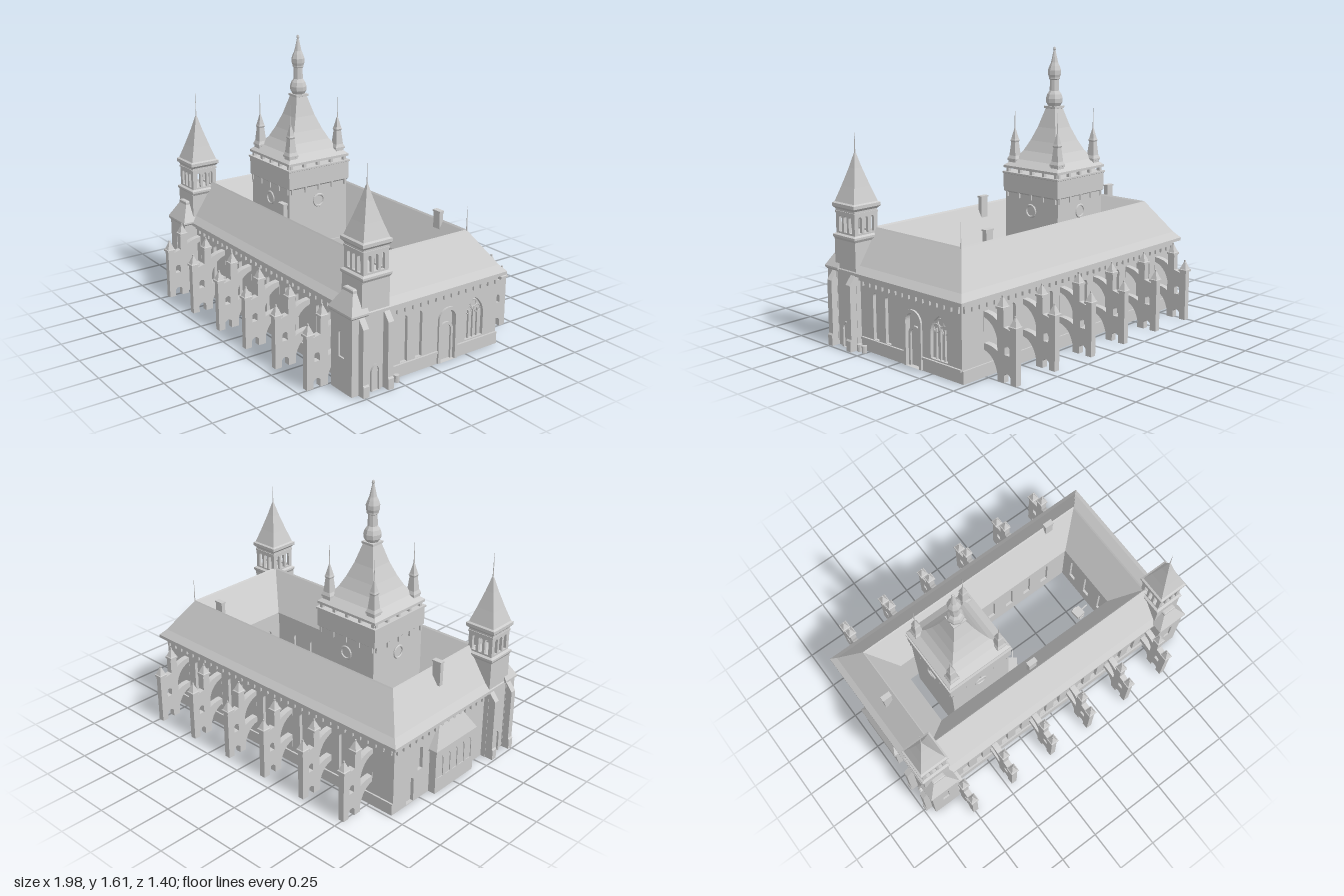
import * as THREE from 'three';

const grey = new THREE.MeshStandardMaterial({ color: 0xcccccc, side: THREE.DoubleSide, flatShading: true });

function add(parent, name, geo, x = 0, y = 0, z = 0) {
  const m = new THREE.Mesh(geo, grey);
  m.name = name;
  m.position.set(x, y, z);
  parent.add(m);
  return m;
}
function group(parent, name, x = 0, y = 0, z = 0, ry = 0) {
  const g = new THREE.Group();
  g.name = name;
  g.position.set(x, y, z);
  g.rotation.y = ry;
  parent.add(g);
  return g;
}
// Box given by its lower and upper corners
const block = (p, name, x0, x1, y0, y1, z0, z1) =>
  add(p, name, new THREE.BoxGeometry(x1 - x0, y1 - y0, z1 - z0), (x0 + x1) / 2, (y0 + y1) / 2, (z0 + z1) / 2);

// Skin through rectangular sections [y, halfX, halfZ = halfX, offsetZ = 0]
function loft(sections) {
  const pos = [], idx = [];
  sections.forEach(([y, hx, hz = hx, oz = 0]) => {
    for (const [sx, sz] of [[1, 1], [1, -1], [-1, -1], [-1, 1]]) pos.push(sx * hx, y, sz * hz + oz);
  });
  for (let i = 0; i < sections.length - 1; i++) for (let k = 0; k < 4; k++) {
    const a = i * 4 + k, b = i * 4 + (k + 1) % 4;
    idx.push(a, b, b + 4, a, b + 4, a + 4);
  }
  const g = new THREE.BufferGeometry();
  g.setAttribute('position', new THREE.Float32BufferAttribute(pos, 3));
  g.setIndex(idx);
  const flat = g.toNonIndexed();
  flat.computeVertexNormals();
  return flat;
}

// Arched outline centred on x, round or pointed
function arch(path, { x, w, y0, y1, pointed }) {
  const r = w / 2, s = pointed ? w * 0.85 : r;
  path.moveTo(x - r, y0).lineTo(x + r, y0).lineTo(x + r, y1 - s);
  if (pointed) {
    path.quadraticCurveTo(x + r, y1 - s * 0.4, x, y1).quadraticCurveTo(x - r, y1 - s * 0.4, x - r, y1 - s);
  } else path.absarc(x, y1 - r, r, 0, Math.PI, false);
  path.closePath();
  return path;
}
// Wall with arched openings; outer face at z = 0 looking to +z, optional recessed back
function wall(parent, name, w, h, openings, depth = 0.03, back = true) {
  const s = new THREE.Shape();
  s.moveTo(-w / 2, 0).lineTo(w / 2, 0).lineTo(w / 2, h).lineTo(-w / 2, h).closePath();
  openings.forEach(o => s.holes.push(arch(new THREE.Path(), o)));
  add(parent, name, new THREE.ExtrudeGeometry(s, { depth, bevelEnabled: false, curveSegments: 8 }), 0, 0, -depth);
  if (back) openings.forEach(o => block(parent, 'recess', o.x - o.w / 2 - 0.004, o.x + o.w / 2 + 0.004, o.y0 - 0.002, o.y1, -depth, -depth + 0.01));
}
// Arched frame standing proud of a wall
function frame(parent, name, o, t, depth, z = 0) {
  const s = arch(new THREE.Shape(), { ...o, w: o.w + 2 * t, y1: o.y1 + t });
  s.holes.push(arch(new THREE.Path(), o));
  add(parent, name, new THREE.ExtrudeGeometry(s, { depth, bevelEnabled: false, curveSegments: 8 }), 0, 0, z);
}
function corbels(parent, w) {
  const n = Math.round(w / 0.055);
  block(parent, 'frieze', -w / 2, w / 2, 0.395, 0.425, 0, 0.012);
  for (let i = 0; i <= n; i++) {
    const x = (i / n - 0.5) * (w - 0.02);
    block(parent, 'corbel', x - 0.008, x + 0.008, 0.37, 0.4, 0, 0.012);
  }
}
const needle = (p, x, y0, y1, z) =>
  add(p, 'finial', new THREE.CylinderGeometry(0.001, 0.0035, y1 - y0, 6), x, (y0 + y1) / 2, z);

// Flying buttress: two piers tied to the wall by arches, outward along +z
function buttress(parent, x) {
  const g = group(parent, 'flyingButtress', x);
  const s = new THREE.Shape();
  s.moveTo(0.45, 0).lineTo(0.471, 0).lineTo(0.471, 0.145).quadraticCurveTo(0.545, 0.13, 0.565, 0.04)
    .lineTo(0.565, 0).lineTo(0.61, 0).lineTo(0.61, 0.04).quadraticCurveTo(0.632, 0.07, 0.655, 0.04)
    .lineTo(0.655, 0).lineTo(0.695, 0).lineTo(0.695, 0.31).lineTo(0.655, 0.31).lineTo(0.655, 0.285)
    .lineTo(0.61, 0.295).lineTo(0.61, 0.39).lineTo(0.565, 0.39).lineTo(0.565, 0.32)
    .quadraticCurveTo(0.53, 0.35, 0.45, 0.35).closePath();
  const upper = new THREE.Path();
  upper.moveTo(0.471, 0.18).quadraticCurveTo(0.53, 0.18, 0.565, 0.16).lineTo(0.565, 0.22)
    .quadraticCurveTo(0.545, 0.3, 0.471, 0.32).closePath();
  s.holes.push(upper, arch(new THREE.Path(), { x: 0.6325, w: 0.034, y0: 0.15, y1: 0.2 }));
  const geo = new THREE.ExtrudeGeometry(s, { depth: 0.036, bevelEnabled: false, curveSegments: 6 });
  geo.rotateY(-Math.PI / 2).translate(0.018, 0, 0);
  add(g, 'buttressPier', geo);
  for (const [z, y] of [[0.675, 0.295], [0.5875, 0.385]]) {
    add(g, 'pinnacle', loft([[y, 0.018], [y, 0.026], [y + 0.012, 0.026], [y + 0.015, 0.021], [y + 0.058, 0.004], [y + 0.068, 0.004], [y + 0.068, 0]]), 0, 0, z);
  }
}

// Corner tower at the front, s = side
function cornerTower(parent, s) {
  const g = group(parent, 'cornerTower', s * 0.855, 0, 0.4);
  block(g, 'towerBase', -0.085, 0.085, 0, 0.62, -0.085, 0.09);
  add(g, 'lowerCornice', loft([[0.605, 0.085], [0.62, 0.094], [0.632, 0.094], [0.64, 0.08], [0.64, 0]]));
  // Belfry
  const slots = [-0.042, 0, 0.042].map(x => ({ x, w: 0.026, y0: 0.03, y1: 0.12 }));
  for (let k = 0; k < 4; k++) {
    const a = k * Math.PI / 2;
    const side = group(g, 'belfrySide', Math.sin(a) * 0.08, 0.62, Math.cos(a) * 0.08, a);
    wall(side, 'belfryWall', 0.16, 0.18, slots, 0.018, false);
    block(side, 'belfrySill', -0.083, 0.083, 0.135, 0.145, 0, 0.004);
  }
  add(g, 'spire', loft([[0.775, 0.08], [0.79, 0.094], [0.808, 0.094], [0.815, 0.083], [0.9, 0.055], [1.0, 0.025], [1.08, 0.004], [1.08, 0]]));
  needle(g, 0, 1.07, s < 0 ? 1.22 : 1.19, 0);
  // Front projection with a hipped stone roof
  const bay = group(g, 'towerBay', 0, 0, 0.155);
  wall(bay, 'bayFront', 0.18, 0.44, [{ x: 0, w: 0.045, y0: 0.19, y1: 0.34 }], 0.02);
  block(bay, 'bayBody', -0.09, 0.09, 0, 0.44, -0.08, -0.02);
  add(bay, 'bayRoof', loft([[0.425, 0.09, 0.05, -0.045], [0.435, 0.1, 0.055, -0.045], [0.445, 0.1, 0.055, -0.045],
    [0.54, 0.042, 0.03, -0.07], [0.555, 0.042, 0.03, -0.07], [0.56, 0.035, 0.025, -0.07], [0.56, 0, 0, -0.07]]));
  // Side buttresses with sloped tops
  const prof = new THREE.Shape();
  prof.moveTo(0, 0).lineTo(0.135, 0).lineTo(0.135, 0.06).lineTo(0.128, 0.07).lineTo(0.128, 0.375).lineTo(0.085, 0.43).lineTo(0, 0.43).closePath();
  for (const z of [-0.065, 0.095]) {
    const geo = new THREE.ExtrudeGeometry(prof, { depth: 0.036, bevelEnabled: false });
    geo.translate(0, 0, -0.018);
    if (s < 0) geo.rotateY(Math.PI);
    add(g, 'sideButtress', geo, 0, 0, z);
  }
  // Pointed side door
  const door = group(g, 'towerDoor', s * 0.085, 0, 0.005, s * Math.PI / 2);
  frame(door, 'doorFrame', { x: 0, w: 0.04, y0: 0, y1: 0.14, pointed: true }, 0.01, 0.012);
}

function centralTower(parent) {
  const g = group(parent, 'centralTower', -0.33);
  block(g, 'shaft', -0.2, 0.2, 0, 0.76, -0.205, 0.205);
  add(g, 'gallery', loft([[0.75, 0.2], [0.76, 0.212], [0.862, 0.212], [0.865, 0.218], [0.875, 0.218], [0.875, 0]]));
  for (let k = 0; k < 4; k++) {
    const a = k * Math.PI / 2;
    const side = group(g, 'towerSide', 0, 0, 0, a);
    for (let i = 0; i < 5; i++) {
      const x = (i - 2) * 0.094;
      block(side, 'galleryPost', x - 0.009, x + 0.009, 0.87, 0.91, 0.185, 0.205);
      block(side, 'bracket', x - 0.006, x + 0.006, 0.725, 0.76, 0.2, 0.212);
    }
    add(side, 'roundWindow', new THREE.TorusGeometry(0.035, 0.007, 6, 20), 0, 0.66, 0.205);
  }
  // Sweeping tower roof with a stacked lantern
  add(g, 'towerRoof', loft([[0.905, 0], [0.895, 0.2], [0.898, 0.212], [0.912, 0.212], [0.95, 0.165], [1.0, 0.128],
    [1.06, 0.099], [1.14, 0.068], [1.25, 0.036], [1.252, 0.042], [1.265, 0.042], [1.265, 0]]));
  const profile = [[0.032, 1.26], [0.048, 1.285], [0.05, 1.31], [0.042, 1.335], [0.028, 1.355], [0.026, 1.42], [0.033, 1.425],
    [0.033, 1.435], [0.038, 1.45], [0.039, 1.475], [0.03, 1.5], [0.021, 1.52], [0.006, 1.59], [0.009, 1.598], [0.006, 1.61], [0, 1.612]];
  add(g, 'lantern', new THREE.LatheGeometry(profile.map(p => new THREE.Vector2(...p)), 8));
  // Corner turrets
  for (const sx of [-1, 1]) for (const sz of [-1, 1]) {
    const t = group(g, 'turret', sx * 0.162, 0, sz * 0.166);
    add(t, 'turretSpire', loft([[0.9, 0.027], [0.94, 0.027], [0.942, 0.032], [0.952, 0.032], [0.97, 0.024], [1.05, 0.016],
      [1.06, 0.02], [1.07, 0.016], [1.13, 0.003], [1.13, 0]]));
    needle(t, 0, 1.12, 1.25, 0);
  }
  // Balcony towards the courtyard
  block(g, 'balcony', 0.2, 0.245, 0.36, 0.375, -0.15, 0.15);
  block(g, 'balconyRail', 0.238, 0.245, 0.375, 0.41, -0.15, 0.15);
}

export function createModel() {
  const root = new THREE.Group();
  root.name = 'castle';
  const bays = [-0.745, -0.45, -0.15, 0.14, 0.44, 0.735];

  // Long walls, front and back
  for (const a of [0, Math.PI]) {
    const side = group(root, 'longSide', 0, 0, 0, a);
    const face = group(side, 'longWall', 0, 0, 0.47);
    const windows = [];
    for (let i = 0; i < 5; i++) for (const d of [-0.052, 0.052])
      windows.push({ x: ((bays[i] + bays[i + 1]) / 2 + d) * (a ? -1 : 1), w: 0.046, y0: 0.075, y1: 0.345 });
    wall(face, 'arcadeWall', 1.82, 0.43, windows);
    block(face, 'plinth', -0.91, 0.91, 0, 0.07, 0, 0.01);
    corbels(face, 1.8);
    bays.forEach(x => buttress(side, a ? -x : x));
  }

  // Short walls; local x runs towards -z on the right end
  const right = group(root, 'rightWall', 0.91, 0, 0, Math.PI / 2);
  const gothic = { x: 0.305, w: 0.13, y0: 0.085, y1: 0.325, pointed: true };
  const portal = { x: 0.11, w: 0.1, y0: 0.004, y1: 0.3 };
  wall(right, 'endWall', 0.94, 0.43, [gothic, portal,
    { x: -0.19, w: 0.045, y0: 0.08, y1: 0.345 }, { x: -0.09, w: 0.045, y0: 0.08, y1: 0.345 }]);
  frame(right, 'portalFrame', portal, 0.018, 0.012);
  frame(right, 'innerDoor', { x: 0.11, w: 0.07, y0: 0.004, y1: 0.21 }, 0.014, 0.012, -0.02);
  for (const d of [-0.032, 0, 0.032]) block(right, 'mullion', 0.302 + d, 0.308 + d, 0.085, 0.25, -0.02, -0.008);
  for (const [d, y] of [[-0.03, 0.25], [0.03, 0.25], [0, 0.285]])
    add(right, 'tracery', new THREE.TorusGeometry(0.022, 0.004, 5, 14), 0.305 + d, y, -0.014);
  block(right, 'sill', -0.31, 0.04, 0.065, 0.078, 0, 0.012);
  block(right, 'sill', 0.18, 0.47, 0.065, 0.078, 0, 0.012);
  corbels(right, 0.92);

  const left = group(root, 'leftWall', -0.91, 0, 0, -Math.PI / 2);
  wall(left, 'endWall', 0.94, 0.43, [{ x: -0.33, w: 0.06, y0: 0.004, y1: 0.16 }, { x: -0.25, w: 0.04, y0: 0.18, y1: 0.32 }]);
  corbels(left, 0.92);
  // Lean-to porch on the left end
  const porch = group(left, 'porch', 0, 0, 0.045);
  wall(porch, 'porchFront', 0.34, 0.27, [-2, -1, 0, 1, 2].map(i => ({ x: i * 0.063, w: 0.044, y0: 0.09, y1: 0.23, pointed: true })), 0.015);
  for (const s of [-1, 1]) block(porch, 'porchEnd', s * 0.1625 - 0.0075, s * 0.1625 + 0.0075, 0, 0.27, -0.045, -0.015);
  add(porch, 'porchRoof', loft([[0.262, 0.18, 0.03, -0.02], [0.275, 0.18, 0.03, -0.02], [0.4, 0.1, 0.005, -0.045], [0.4, 0, 0, -0.045]]));

  // Courtyard walls
  for (let k = 0; k < 4; k++) {
    const long = k % 2 === 0, a = k * Math.PI / 2, r = long ? 0.235 : 0.65;
    const inner = group(root, 'courtyardWall', -Math.sin(a) * r, 0, -Math.cos(a) * r, a);
    const n = long ? 8 : 3;
    wall(inner, 'innerWall', long ? 1.3 : 0.47, 0.45,
      Array.from({ length: n }, (_, i) => ({ x: (i - (n - 1) / 2) * 0.14, w: 0.05, y0: 0.1, y1: 0.32 })), 0.025);
  }

  // Ring roof: outer eave, ridge, inner eave
  add(root, 'roof', loft([[0.425, 0.905, 0.465], [0.42, 0.945, 0.505], [0.438, 0.945, 0.505], [0.475, 0.91, 0.472],
    [0.66, 0.787, 0.347], [0.668, 0.782, 0.342], [0.66, 0.775, 0.335], [0.44, 0.628, 0.21], [0.43, 0.628, 0.21], [0.43, 0.65, 0.235]]));
  for (const [x, z] of [[0.57, -0.325], [-0.04, 0.31], [-0.83, -0.025]]) {
    block(root, 'chimney', x - 0.026, x + 0.026, 0.58, 0.715, z - 0.013, z + 0.013);
    block(root, 'chimneyCap', x - 0.03, x + 0.03, 0.715, 0.724, z - 0.016, z + 0.016);
  }
  needle(root, 0.785, 0.66, 0.8, -0.342);

  centralTower(root);
  for (const s of [-1, 1]) cornerTower(root, s);

  // Courtyard carts and barrels by the right wall
  for (const [x, z, a, l] of [[-0.015, 0.095, 0.9, 0.11], [0.55, 0.06, 0.1, 0.06]]) {
    const cart = group(root, 'cart', x, 0, z, a);
    block(cart, 'cartBed', -l / 2, l / 2, 0.025, 0.05, -0.03, 0.03);
    for (const sz of [-0.035, 0.035]) add(cart, 'wheel', new THREE.TorusGeometry(0.02, 0.004, 5, 12), 0, 0.024, sz);
    block(cart, 'shaft', l / 2, l / 2 + 0.05, 0.03, 0.036, -0.004, 0.004);
  }
  for (const z of [0.26, 0.3]) add(root, 'barrel', new THREE.CylinderGeometry(0.015, 0.015, 0.04, 10), 0.94, 0.02, z);
  return root;
}
